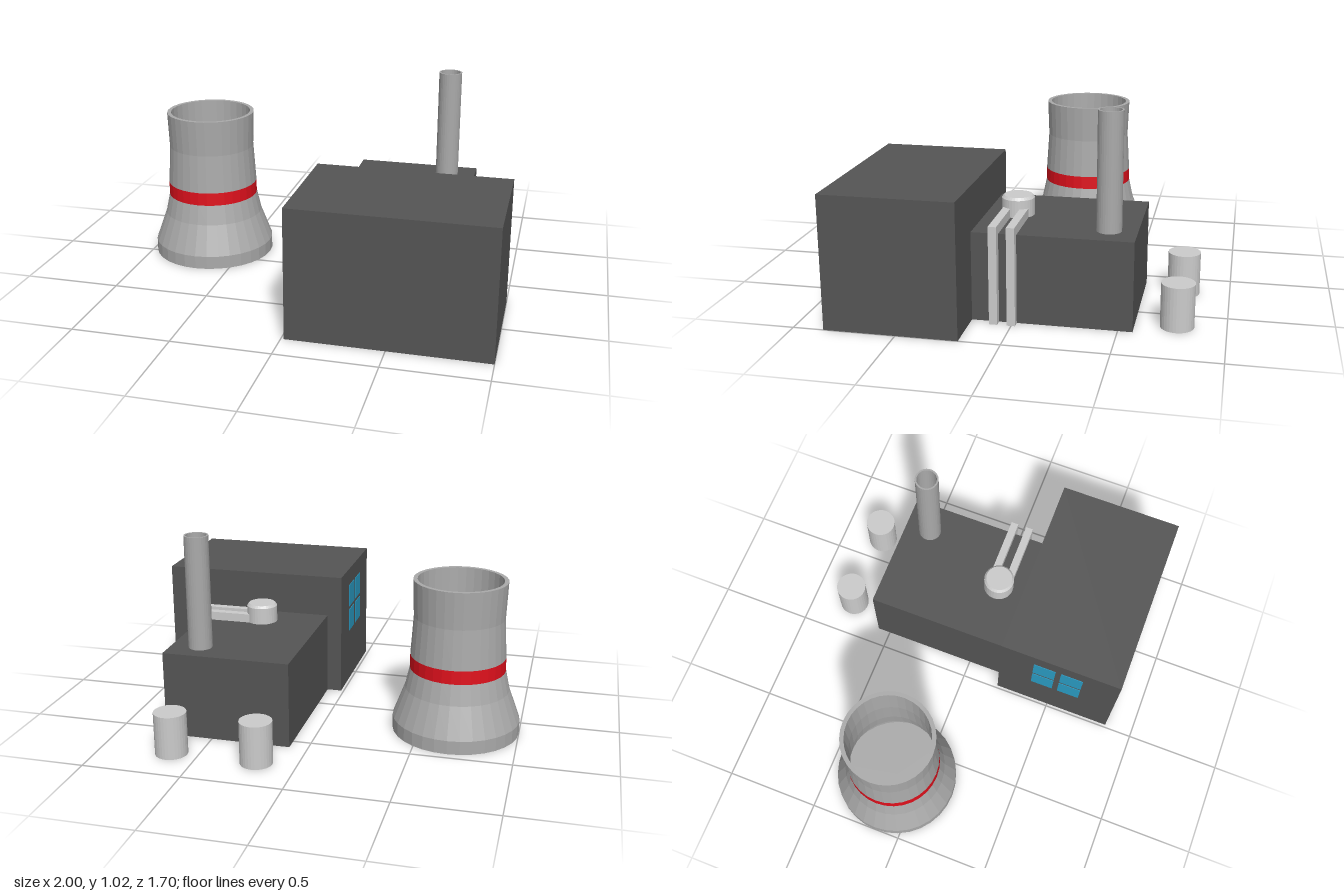
import * as THREE from 'three';

const paint = (color) => new THREE.MeshStandardMaterial({ color, flatShading: true, side: THREE.DoubleSide });

export function createModel() {
  const root = new THREE.Group();
  const dark = paint(0x555555), concrete = paint(0xaaaaaa), light = paint(0xcccccc);
  const red = paint(0xe0101c), glass = paint(0x2a9cc4);

  function add(name, geometry, material, x = 0, y = 0, z = 0, parent = root) {
    const mesh = new THREE.Mesh(geometry, material);
    mesh.name = name;
    mesh.position.set(x, y, z);
    parent.add(mesh);
    return mesh;
  }
  // box given by its lower and upper corners
  function box(name, a, b, material, parent = root) {
    return add(name, new THREE.BoxGeometry(b[0] - a[0], b[1] - a[1], b[2] - a[2]), material,
      (a[0] + b[0]) / 2, (a[1] + b[1]) / 2, (a[2] + b[2]) / 2, parent);
  }
  const lathe = (points) => new THREE.LatheGeometry(points.map(([r, y]) => new THREE.Vector2(r, y)), 32);

  // buildings
  box('mainHall', [0.015, 0, 0.2], [1, 0.66, 0.85], dark);
  box('rearHall', [0.093, 0, -0.57], [0.745, 0.44, 0.2], dark);

  // four window panes on the hall side that faces the tower
  const windows = new THREE.Group();
  windows.name = 'windows';
  root.add(windows);
  for (const z of [0.385, 0.535])
    for (const y of [0.295, 0.44])
      box('windowPane', [0.012, y, z], [0.02, y + 0.125, z + 0.12], glass, windows);

  // cooling tower: flared skirt, red band, open hollow neck
  const tower = new THREE.Group();
  tower.name = 'coolingTower';
  tower.position.set(-0.675, 0, -0.135);
  root.add(tower);
  add('towerSkirt', lathe([[0, 0], [0.325, 0], [0.325, 0.07], [0.266, 0.23], [0.243, 0.335]]), concrete, 0, 0, 0, tower);
  add('towerBand', lathe([[0.243, 0.335], [0.242, 0.405]]), red, 0, 0, 0, tower);
  add('towerNeck', lathe([[0.242, 0.405], [0.229, 0.61], [0.236, 0.8], [0.215, 0.8], [0.211, 0.61],
    [0.222, 0.4], [0.246, 0.23], [0.3, 0.07], [0.3, 0.02], [0, 0.02]]), concrete, 0, 0, 0, tower);

  // hollow chimney on the rear roof
  add('chimney', lathe([[0.061, 0.44], [0.061, 1.02], [0.052, 1.02], [0.052, 0.44]]), concrete, 0.594, 0, -0.433);

  // storage tanks behind the hall
  for (const x of [0.2, 0.636])
    add('storageTank', new THREE.CylinderGeometry(0.081, 0.081, 0.22, 32), light, x, 0.11, -0.768);

  // roof vessel with a chamfered lid
  add('roofVessel', lathe([[0, 0.43], [0.081, 0.43], [0.081, 0.527], [0.07, 0.54], [0, 0.54]]), light, 0.418, 0, 0.042);

  // square pipes: across the roof, then down the side wall
  for (const z of [0.001, 0.087]) {
    const shape = new THREE.Shape([[0.43, 0.44], [0.745, 0.44], [0.745, 0], [0.785, 0], [0.785, 0.485], [0.43, 0.485]]
      .map(([x, y]) => new THREE.Vector2(x, y)));
    add('pipe', new THREE.ExtrudeGeometry(shape, { depth: 0.04, bevelEnabled: false }), light, 0, 0, z - 0.02);
  }
  return root;
}
